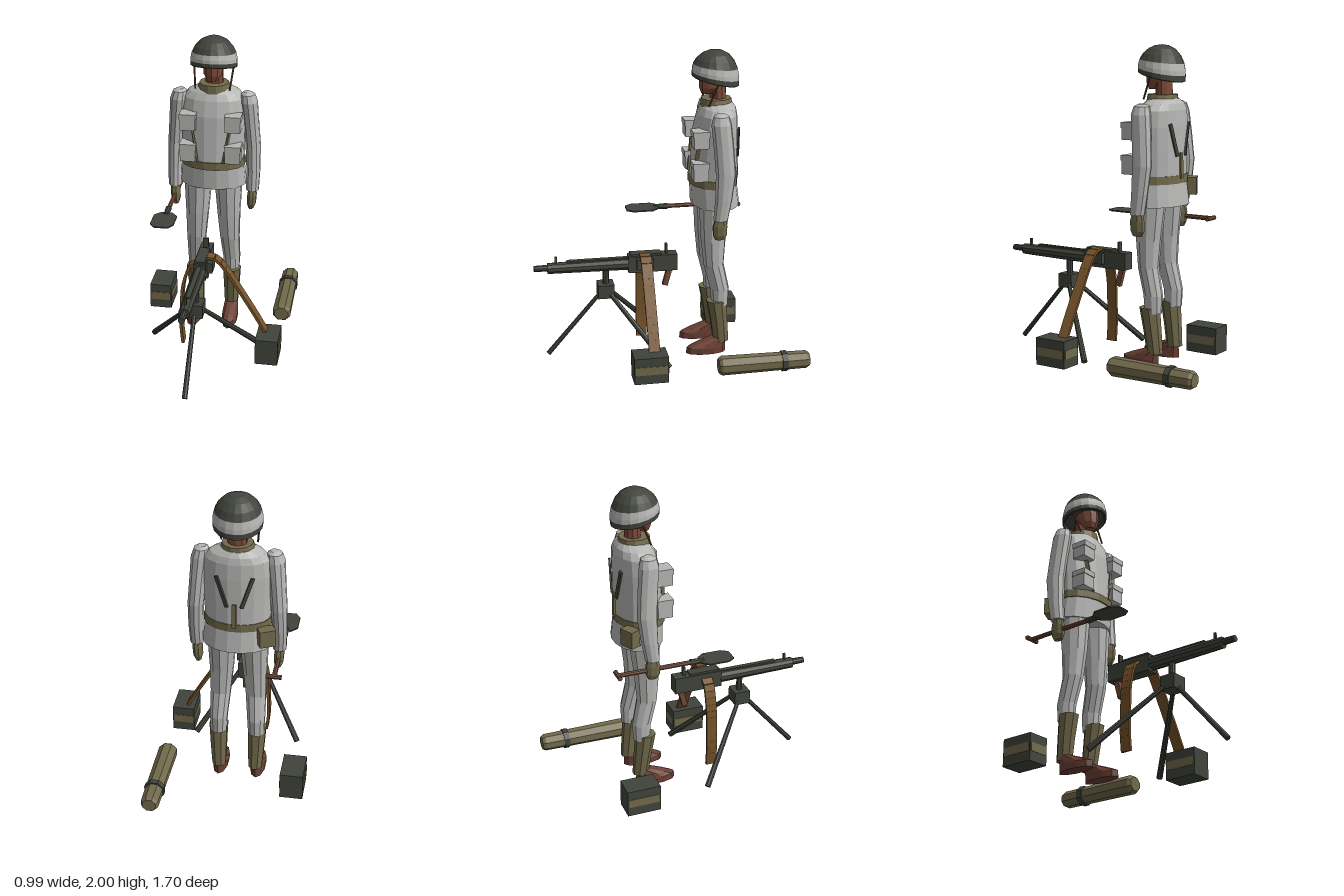
import * as THREE from 'three';

const CX = -0.045; // centre line of the figure and the gun
const mat = (name, color) => Object.assign(new THREE.MeshStandardMaterial({ color }), { name });

export function createModel() {
  const white = mat('snow cloth', 0xb6b6b5), metal = mat('dark metal', 0x41443c);
  const khaki = mat('khaki', 0x726a4b), skin = mat('skin', 0x7c4a38);
  const leather = mat('brown leather', 0x6c4034), wood = mat('wood', 0x744a38);
  const brass = mat('cartridge belt', 0x76532a);
  const root = new THREE.Group();

  // faceted mesh added to a parent
  const add = (name, geo, m, x = 0, y = 0, z = 0, parent = root) => {
    const g = geo.index ? geo.toNonIndexed() : geo;
    g.computeVertexNormals();
    const mesh = new THREE.Mesh(g, m);
    mesh.name = name;
    mesh.position.set(x, y, z);
    parent.add(mesh);
    return mesh;
  };
  const box = (name, m, w, h, d, x, y, z) => add(name, new THREE.BoxGeometry(w, h, d), m, x, y, z);

  // closed body from elliptical rings [x, y, z, rx, rz], listed from the bottom up
  const loft = (rings, n) => {
    const p = [], idx = [];
    rings.forEach(([x, y, z, rx, rz]) => {
      for (let j = 0; j < n; j++) {
        const a = ((j + 0.5) / n) * Math.PI * 2;
        p.push(x + rx * Math.cos(a), y, z + rz * Math.sin(a));
      }
    });
    const last = rings.length - 1, c = rings.length * n;
    p.push(...rings[0].slice(0, 3), ...rings[last].slice(0, 3));
    for (let j = 0; j < n; j++) {
      const k = (j + 1) % n;
      for (let i = 0; i < last; i++) {
        const a = i * n + j, b = i * n + k;
        idx.push(a, a + n, b, b, a + n, b + n);
      }
      idx.push(c, j, k, c + 1, last * n + k, last * n + j);
    }
    const g = new THREE.BufferGeometry();
    g.setAttribute('position', new THREE.Float32BufferAttribute(p, 3));
    g.setIndex(idx);
    return g;
  };

  // straight bar between two points: box (w, d) or tapered rod (r0 to r1)
  const between = (name, geoOf, m, a, b) => {
    const A = new THREE.Vector3(...a), B = new THREE.Vector3(...b), d = B.clone().sub(A);
    const mesh = add(name, geoOf(d.length()), m, ...A.add(B).multiplyScalar(0.5).toArray());
    mesh.quaternion.setFromUnitVectors(new THREE.Vector3(0, 1, 0), d.normalize());
    return mesh;
  };
  const bar = (name, m, a, b, w, d) => between(name, (l) => new THREE.BoxGeometry(w, l, d), m, a, b);
  const rod = (name, m, a, b, r0, r1 = r0, n = 8) =>
    between(name, (l) => new THREE.CylinderGeometry(r1, r0, l, n), m, a, b);

  // torso, belt and collar
  add('jacket', loft([
    [0, 1.01, -0.322, 0.218, 0.155], [0, 1.15, -0.31, 0.205, 0.15], [0, 1.2, -0.31, 0.203, 0.15],
    [0, 1.35, -0.315, 0.207, 0.145], [0, 1.5, -0.32, 0.212, 0.14], [0, 1.6, -0.33, 0.2, 0.125],
    [0, 1.64, -0.335, 0.165, 0.11], [0, 1.67, -0.335, 0.1, 0.09]], 16), white, CX);
  add('waistBelt', loft([[0, 1.15, -0.307, 0.212, 0.157], [0, 1.2, -0.307, 0.21, 0.157]], 16), khaki, CX);
  add('collar', loft([[0, 1.64, -0.325, 0.112, 0.1], [0, 1.695, -0.325, 0.095, 0.095]], 12), khaki, CX);

  // head and neck
  add('neck', loft([[0, 1.64, -0.335, 0.06, 0.052], [0, 1.82, -0.335, 0.056, 0.05]], 10), skin, CX);
  add('head', loft([
    [0, 1.725, -0.265, 0.035, 0.035], [0, 1.765, -0.285, 0.06, 0.07],
    [0, 1.83, -0.3, 0.068, 0.085], [0, 1.9, -0.305, 0.066, 0.085]], 10), skin, CX);

  // helmet: profile pieces sheared so the rim drops toward the back
  const helmet = (name, m, pts) => {
    const g = new THREE.LatheGeometry(pts.map(([r, y]) => new THREE.Vector2(r, y)), 18);
    const p = g.attributes.position;
    for (let i = 0; i < p.count; i++) {
      const y = p.getY(i);
      p.setY(i, y + 0.22 * p.getZ(i) * (1 - y / 0.195));
    }
    add(name, g, m, CX, 1.805, -0.318);
  };
  helmet('helmetRim', metal, [[0, 0.05], [0.13, 0.015], [0.14, -0.005], [0.149, 0], [0.149, 0.03]]);
  helmet('helmetBand', white, [[0.149, 0.03], [0.148, 0.055], [0.14, 0.092]]);
  helmet('helmetDome', metal, [[0.14, 0.092], [0.12, 0.132], [0.085, 0.168], [0.045, 0.188], [0, 0.195]]);

  // mirrored parts of the soldier
  for (const s of [-1, 1]) {
    const X = (d) => CX + s * d;
    const limb = (name, m, rings, n) =>
      add(name, loft(rings.map(([d, ...r]) => [X(d), ...r]), n), m);
    limb('sleeve', white, [
      [0.258, 0.97, -0.308, 0.043, 0.047], [0.26, 1.1, -0.325, 0.046, 0.054],
      [0.255, 1.27, -0.338, 0.05, 0.064], [0.24, 1.45, -0.325, 0.052, 0.064],
      [0.228, 1.58, -0.312, 0.056, 0.064], [0.22, 1.63, -0.312, 0.046, 0.05],
      [0.215, 1.645, -0.312, 0.022, 0.026]], 10);
    limb('glove', khaki, [
      [0.25, 0.838, -0.305, 0.018, 0.032], [0.253, 0.87, -0.305, 0.03, 0.046],
      [0.256, 0.93, -0.305, 0.032, 0.048], [0.257, 0.985, -0.308, 0.026, 0.034]], 8);
    limb('trouserLeg', white, [
      [0.12, 0.34, -0.34, 0.052, 0.055], [0.12, 0.45, -0.338, 0.058, 0.062],
      [0.112, 0.62, -0.298, 0.066, 0.066], [0.105, 0.8, -0.295, 0.077, 0.082],
      [0.1, 1.03, -0.303, 0.093, 0.102]], 10);
    limb('gaiter', khaki, [
      [0.118, 0.08, -0.35, 0.046, 0.053], [0.122, 0.22, -0.335, 0.054, 0.058],
      [0.125, 0.372, -0.315, 0.062, 0.067]], 8);
    limb('boot', leather, [
      [0.123, 0.003, -0.25, 0.05, 0.132], [0.123, 0.045, -0.252, 0.053, 0.13],
      [0.121, 0.07, -0.28, 0.05, 0.1], [0.118, 0.11, -0.343, 0.043, 0.055]], 10);

    // chest pockets with flaps
    for (const [y, h] of [[1.47, 0.105], [1.262, 0.115]]) {
      box('pocket', white, 0.1, h, 0.095, X(0.145), y, -0.197);
      box('pocketFlap', white, 0.106, 0.035, 0.104, X(0.145), y + h / 2 - 0.014, -0.196);
    }
    // harness and chin strap
    bar('frontStrap', khaki, [X(0.125), 1.43, -0.196], [X(0.085), 1.2, -0.17], 0.026, 0.012);
    bar('backStrap', metal, [X(0.11), 1.52, -0.449], [X(0.045), 1.32, -0.461], 0.022, 0.012);
    rod('chinStrap', leather, [X(0.128), 1.82, -0.318], [X(0.11), 1.665, -0.255], 0.006, 0.006, 6);
  }
  bar('backCentreStrap', khaki, [CX, 1.34, -0.461], [CX, 1.18, -0.465], 0.026, 0.012);
  box('beltPouch', khaki, 0.1, 0.11, 0.07, -0.235, 1.115, -0.425).rotation.y = 0.45;

  // entrenching shovel in the right hand
  rod('shovelHandle', wood, [-0.3, 0.902, -0.53], [-0.3, 0.902, -0.03], 0.015);
  rod('shovelGrip', wood, [-0.345, 0.902, -0.53], [-0.25, 0.902, -0.53], 0.015);
  rod('shovelSocket', metal, [-0.3, 0.902, -0.06], [-0.3, 0.902, 0.03], 0.021, 0.016);
  const half = [[0.035, 0], [0.075, 0.045], [0.075, 0.17], [0.045, 0.215]];
  const blade = new THREE.Shape([...half, ...half.map(([x, y]) => [-x, y]).reverse()]
    .map(([x, y]) => new THREE.Vector2(x, y)));
  add('shovelBlade', new THREE.ExtrudeGeometry(blade, { depth: 0.009, bevelEnabled: false }),
    metal, -0.298, 0.906, 0.003).rotation.x = Math.PI / 2;

  // machine gun
  box('receiver', metal, 0.08, 0.11, 0.32, CX, 0.617, 0.085);
  box('feedCover', metal, 0.066, 0.02, 0.2, CX, 0.675, 0.13);
  box('feedTray', metal, 0.05, 0.07, 0.11, 0.005, 0.625, 0.14);
  rod('barrelJacket', metal, [CX, 0.615, 0.24], [CX, 0.615, 0.765], 0.043, 0.036, 10);
  box('jacketTop', metal, 0.03, 0.02, 0.4, CX, 0.65, 0.44);
  rod('muzzle', metal, [CX, 0.618, 0.76], [CX, 0.618, 0.852], 0.022, 0.02, 10);
  box('frontSight', metal, 0.014, 0.05, 0.014, CX, 0.667, 0.71);
  box('rearSight', metal, 0.034, 0.07, 0.014, CX, 0.702, -0.006);
  bar('pistolGrip', wood, [CX, 0.57, -0.03], [CX, 0.45, 0.002], 0.032, 0.034);

  // tripod
  rod('tripodPost', metal, [CX, 0.48, 0.39], [CX, 0.585, 0.39], 0.021);
  box('tripodHead', metal, 0.11, 0.09, 0.105, CX, 0.445, 0.392);
  rod('tripodLeg', metal, [CX, 0.43, 0.42], [CX, 0.018, 0.775], 0.014, 0.017);
  for (const s of [-1, 1])
    rod('tripodLeg', metal, [CX + s * 0.04, 0.43, 0.37], [CX + s * 0.345, 0.018, 0.03], 0.014, 0.02);

  // cartridge belt hanging on both sides
  for (const pts of [
    [[-0.01, 0.685], [0.05, 0.675], [0.12, 0.59], [0.19, 0.48], [0.3, 0.3], [0.385, 0.15]],
    [[-0.085, 0.635], [-0.115, 0.62], [-0.165, 0.48], [-0.178, 0.3], [-0.182, 0.17], [-0.17, 0.04]]]) {
    const c = new THREE.CatmullRomCurve3(pts.map(([x, y]) => new THREE.Vector3(x, y, 0.14))).getSpacedPoints(14);
    for (let i = 0; i < 14; i++)
      bar('cartridgeBelt', brass, c[i].toArray(), c[i + 1].toArray(), 0.018, 0.07);
  }

  // ammunition boxes, each with a painted stripe on three sides
  for (const [x, z, f] of [[0.395, 0.173, -1], [-0.422, -0.44, 1]]) {
    box('ammoBox', metal, 0.147, 0.175, 0.218, x, 0.0885, z);
    box('boxStripe', khaki, 0.13, 0.055, 0.004, x, 0.09, z + f * 0.11);
    for (const s of [-1, 1]) box('boxStripe', khaki, 0.004, 0.055, 0.2, x + s * 0.0745, 0.09, z);
  }

  // spare barrel case lying on the ground, with a strap
  const cas = add('barrelCase', loft([
    [0, -0.295, 0, 0.046, 0.044], [0, -0.275, 0, 0.058, 0.056],
    [0, 0.275, 0, 0.064, 0.062], [0, 0.295, 0, 0.05, 0.048]], 8), khaki, 0.43, 0.069, -0.555);
  cas.rotation.x = Math.PI / 2;
  const strap = add('caseStrap', loft([[0, -0.018, 0, 0.068, 0.066], [0, 0.018, 0, 0.068, 0.066]], 8),
    metal, 0.43, 0.069, -0.685);
  strap.rotation.x = Math.PI / 2;

  return root;
}
